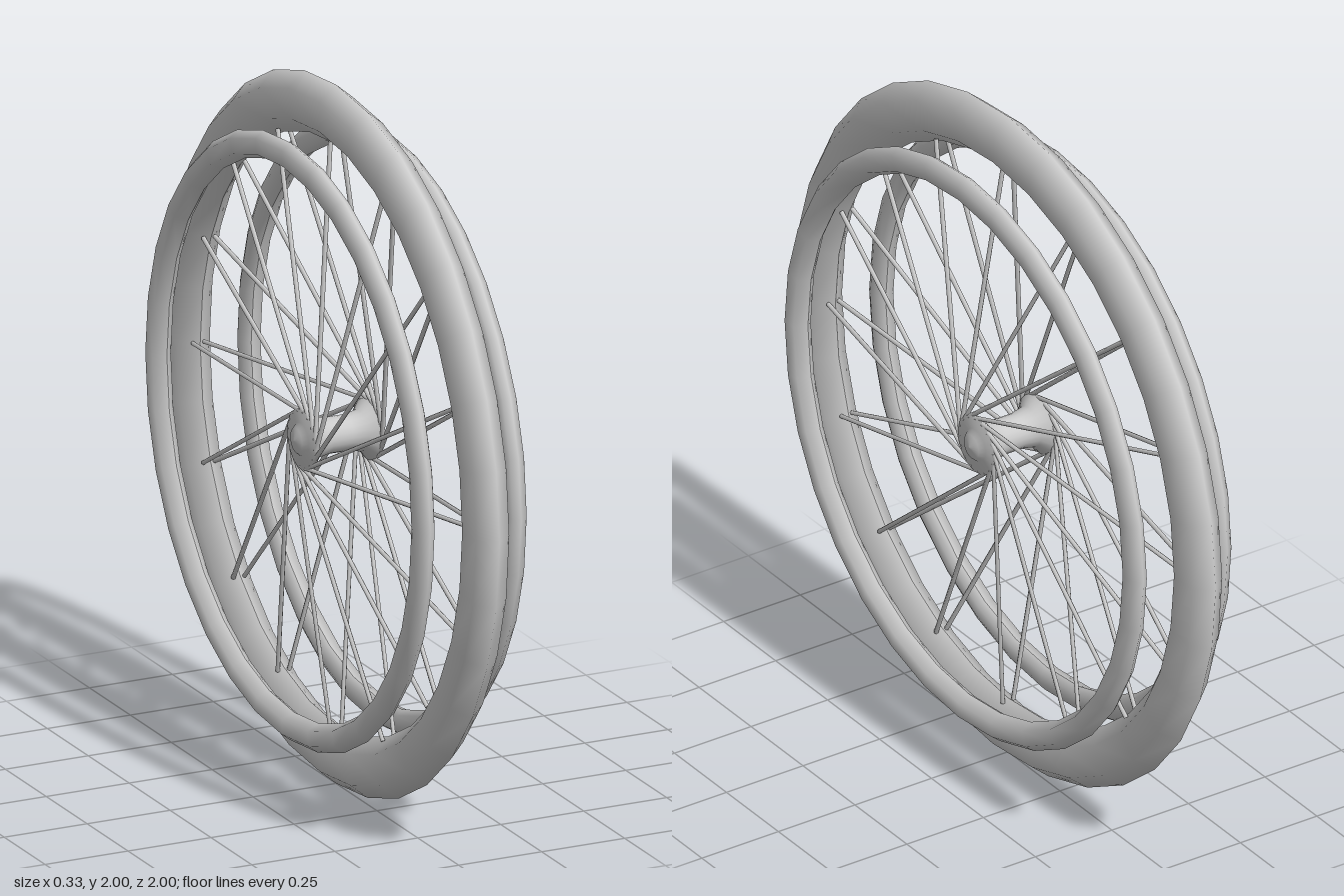
import * as THREE from 'three';

const material = new THREE.MeshStandardMaterial({ color: 0xcccccc, side: THREE.DoubleSide });

// Revolve a profile of [x, radius] points around the wheel axle (the x axis)
function revolve(name, profile, segments) {
  const points = profile.map(([x, r]) => new THREE.Vector2(r, x));
  const geometry = new THREE.LatheGeometry(points, segments);
  geometry.rotateZ(-Math.PI / 2);
  const mesh = new THREE.Mesh(geometry, material);
  mesh.name = name;
  return mesh;
}

// Closed six-sided section, stretched along the radius
function hexSection(x, radius, halfWidth, halfHeight) {
  const section = [];
  for (let i = 0; i <= 6; i++) {
    const a = (i * Math.PI) / 3 + Math.PI;
    section.push([x + (Math.sin(a) * halfWidth) / 0.866, radius + Math.cos(a) * halfHeight]);
  }
  return section;
}

// Thin rod between two points
function rod(name, from, to, radius) {
  const direction = to.clone().sub(from);
  const geometry = new THREE.CylinderGeometry(radius, radius, direction.length(), 6);
  const mesh = new THREE.Mesh(geometry, material);
  mesh.name = name;
  mesh.position.copy(from).add(to).multiplyScalar(0.5);
  mesh.quaternion.setFromUnitVectors(new THREE.Vector3(0, 1, 0), direction.normalize());
  return mesh;
}

// Point on the wheel; the angle runs from the top towards +z
const onWheel = (x, radius, angle) =>
  new THREE.Vector3(x, radius * Math.cos(angle), radius * Math.sin(angle));

export function createModel() {
  const model = new THREE.Group();
  const wheel = new THREE.Group();
  wheel.name = 'wheel';
  wheel.position.y = 1;
  model.add(wheel);

  wheel.add(revolve('tire', hexSection(0, 0.915, 0.05, 0.085), 32));

  // Spool-shaped hub with flanges and rounded end caps
  const half = [[0.03, 0.05], [0.07, 0.058], [0.092, 0.085], [0.105, 0.085], [0.106, 0.048], [0.12, 0.036], [0.128, 0]];
  const hub = [...half.map(([x, r]) => [-x, r]).reverse(), ...half];
  wheel.add(revolve('hub', hub, 20));

  for (const side of [-1, 1]) {
    // Hand ring beside the tire, slightly bevelled towards it
    const section = [[0.127, 0.776], [0.108, 0.79], [0.108, 0.822], [0.118, 0.842], [0.137, 0.855],
      [0.163, 0.835], [0.163, 0.792], [0.127, 0.776]];
    wheel.add(revolve('handRing', section.map(([x, r]) => [side * x, r]), 32));

    // Spokes leave the flange at a tangent and meet their mirror pair at the rim
    const spokes = new THREE.Group();
    spokes.name = side > 0 ? 'leftSpokes' : 'rightSpokes';
    for (let i = 0; i < 16; i++) {
      const angle = (i * Math.PI) / 8;
      const start = onWheel(side * 0.1, 0.08, angle + 1.3);
      const end = onWheel(side * 0.017, 0.84, angle);
      spokes.add(rod('spoke', start, end, 0.0065));
    }
    wheel.add(spokes);
  }
  return model;
}
